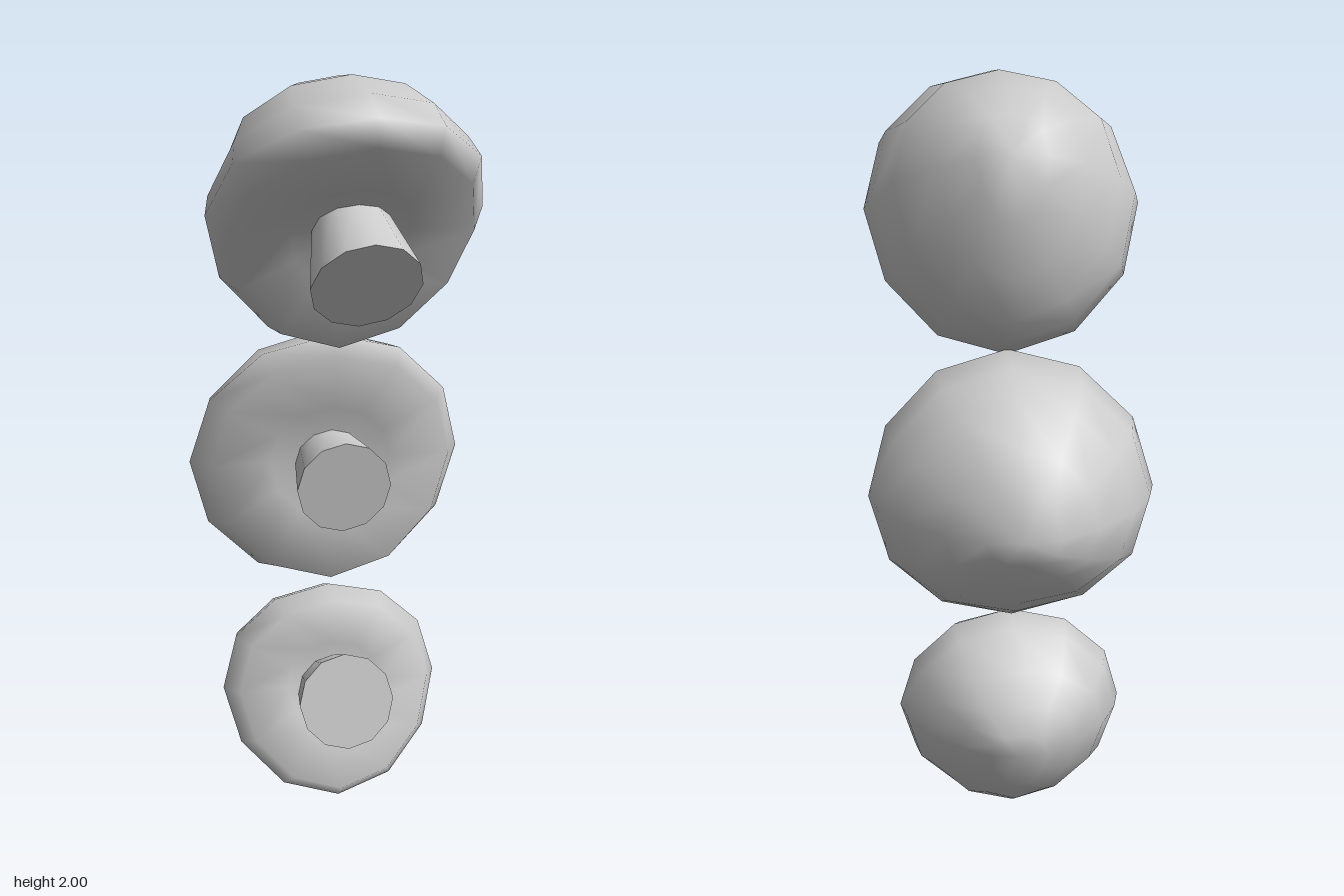
import * as THREE from 'three';
import { mergeVertices } from 'three/addons/utils/BufferGeometryUtils.js';

const SIDES = 12;
const material = new THREE.MeshStandardMaterial({ color: 0xcccccc });

// Per ring from lip to apex: share of the full half-width, share of the depth at the sides
const WIDTH = [0.88, 1, 0.95, 0.8, 0.52, 0.25, 0];
const DEPTH = [0, 0.2, 0.37, 0.61, 0.835, 0.97, 1];

// All outline points are [z, y] on the middle plane.
// upper/lower: cap outline from lip to apex; hollow: centre of the underside;
// stemEnd and axis: middle of the stem's free end and its direction into the cap.
const mushrooms = [
  {
    name: 'topMushroom', halfWidth: 0.36, hollow: [0.19, 1.61],
    upper: [[0.45, 1.85], [0.44, 1.92], [0.36, 1.97], [0.18, 2.0], [0.02, 1.985], [-0.08, 1.935], [-0.165, 1.85]],
    lower: [[0.05, 1.29], [0, 1.29], [-0.07, 1.34], [-0.12, 1.41], [-0.16, 1.53], [-0.187, 1.68], [-0.165, 1.85]],
    stemEnd: [0.338, 1.505], axis: [-0.81, 0.58], stemRadius: 0.142,
  },
  {
    name: 'middleMushroom', halfWidth: 0.375, hollow: [-0.045, 0.96],
    upper: [[0.025, 1.26], [-0.02, 1.31], [-0.14, 1.3], [-0.24, 1.25], [-0.36, 1.155], [-0.42, 1.06], [-0.447, 0.94]],
    lower: [[-0.05, 0.62], [-0.13, 0.6], [-0.23, 0.655], [-0.31, 0.715], [-0.38, 0.8], [-0.43, 0.875], [-0.447, 0.94]],
    stemEnd: [0.108, 0.925], axis: [-0.99, 0.14], stemRadius: 0.127,
  },
  {
    name: 'bottomMushroom', halfWidth: 0.302, hollow: [-0.005, 0.32],
    upper: [[-0.02, 0.56], [-0.08, 0.59], [-0.15, 0.565], [-0.25, 0.49], [-0.31, 0.41], [-0.335, 0.34], [-0.34, 0.28]],
    lower: [[0.085, 0.045], [0.04, 0.005], [-0.05, 0.003], [-0.13, 0.025], [-0.21, 0.075], [-0.29, 0.16], [-0.34, 0.28]],
    stemEnd: [0.138, 0.328], axis: [-0.98, -0.21], stemRadius: 0.13,
  },
];

// One bent ring through an upper point, a lower point and two mirrored side points
function ring(top, bottom, halfWidth, side) {
  return Array.from({ length: SIDES }, (_, i) => {
    const a = (i / SIDES) * Math.PI * 2;
    const c = Math.cos(a), s = Math.sin(a);
    const along = (k) => {
      const mid = (top[k] + bottom[k]) / 2;
      return mid + ((top[k] - bottom[k]) / 2) * c + (side[k] - mid) * s * s;
    };
    return new THREE.Vector3(halfWidth * s, along(1), along(0));
  });
}

// Closed smooth skin over a list of rings
function loft(rings) {
  const index = [];
  for (let j = 0; j < rings.length - 1; j++) {
    for (let i = 0; i < SIDES; i++) {
      const n = (i + 1) % SIDES;
      const a = j * SIDES + i, b = j * SIDES + n;
      const c = a + SIDES, d = b + SIDES;
      index.push(a, b, c, b, d, c);
    }
  }
  let geometry = new THREE.BufferGeometry().setFromPoints(rings.flat());
  geometry.setIndex(index);
  geometry = mergeVertices(geometry, 1e-5);
  geometry.computeVertexNormals();
  return geometry;
}

function makeCap({ upper, lower, halfWidth, hollow }) {
  const apex = upper[upper.length - 1];
  const dome = upper.map((top, j) => {
    const side = [0, 1].map((k) => hollow[k] + (apex[k] - hollow[k]) * DEPTH[j]);
    return ring(top, lower[j], halfWidth * WIDTH[j], side);
  });
  // Underside: the lip shrunk towards a slightly sunken centre
  const centre = new THREE.Vector3(0, hollow[1], hollow[0])
    .lerp(new THREE.Vector3(0, apex[1], apex[0]), 0.05);
  const under = [0, 0.5].map((t) => dome[0].map((p) => centre.clone().lerp(p, t)));
  return new THREE.Mesh(loft([...under, ...dome]), material);
}

// Stem flaring towards its free end
function makeStem({ stemEnd, axis, stemRadius }) {
  const length = 0.24;
  const geometry = new THREE.CylinderGeometry(stemRadius * 0.66, stemRadius, length, SIDES);
  geometry.translate(0, length / 2, 0);
  const stem = new THREE.Mesh(geometry, material);
  stem.position.set(0, stemEnd[1], stemEnd[0]);
  stem.rotation.x = Math.atan2(axis[0], axis[1]);
  return stem;
}

export function createModel() {
  const model = new THREE.Group();
  model.name = 'mushroomStack';
  for (const spec of mushrooms) {
    const mushroom = new THREE.Group();
    mushroom.name = spec.name;
    const cap = makeCap(spec);
    cap.name = 'cap';
    const stem = makeStem(spec);
    stem.name = 'stem';
    mushroom.add(cap, stem);
    model.add(mushroom);
  }
  return model;
}
